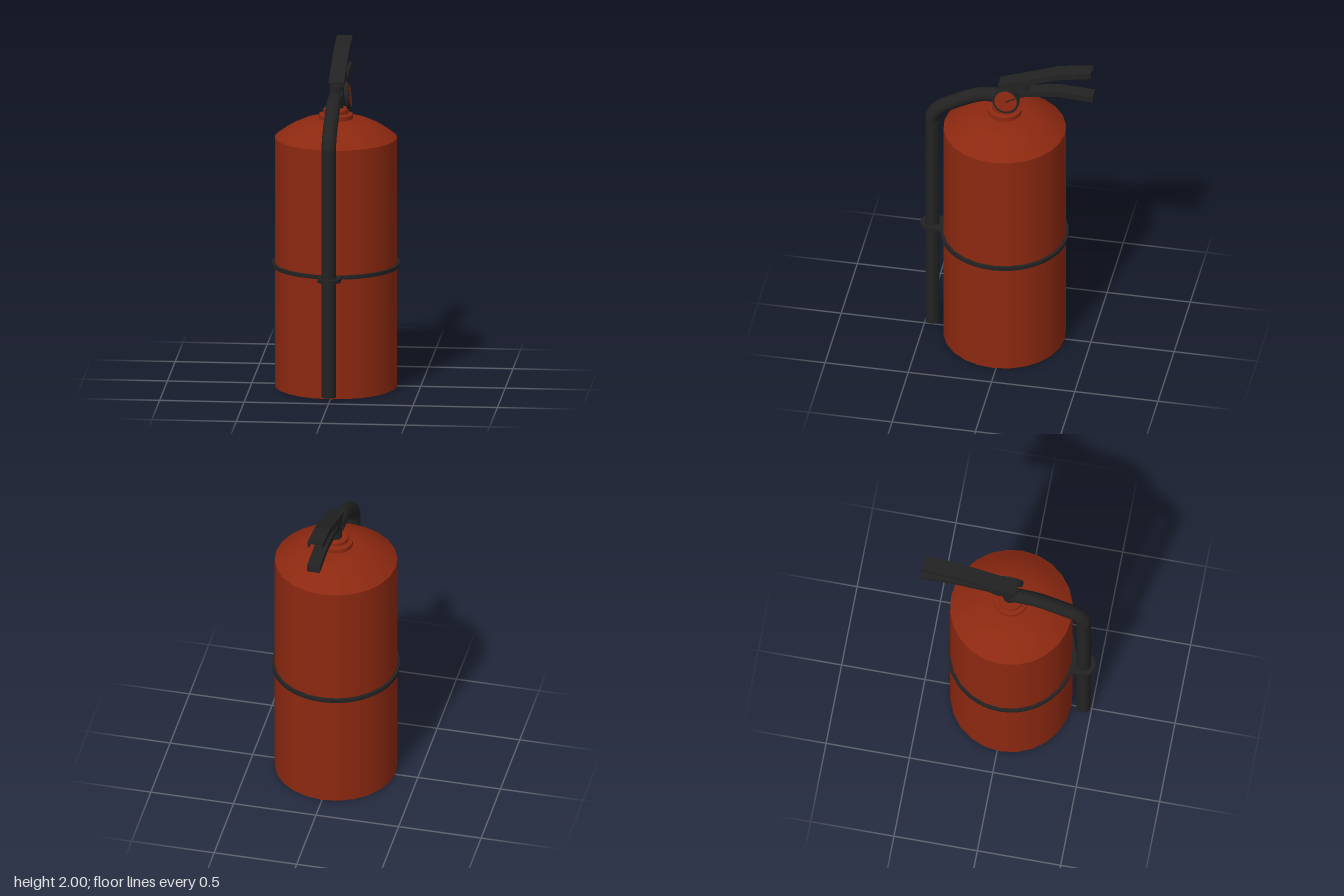
import * as THREE from 'three';

const red = new THREE.MeshStandardMaterial({ color: 0x8c2810, side: THREE.DoubleSide });
red.name = 'red paint';
const black = new THREE.MeshStandardMaterial({ color: 0x222222, side: THREE.DoubleSide });
black.name = 'black rubber';

const SEG = 24;
const TANK_Z = 0.018;

export function createModel() {
  const model = new THREE.Group();
  model.name = 'fireExtinguisher';

  const add = (name, geometry, material, parent = model) => {
    const mesh = new THREE.Mesh(geometry, material);
    mesh.name = name;
    parent.add(mesh);
    return mesh;
  };

  // Surface of revolution about the tank axis; points are [radius, y]
  const lathe = (name, points, material) => {
    const profile = points.map(([r, y]) => new THREE.Vector2(r, y));
    add(name, new THREE.LatheGeometry(profile, SEG), material).position.z = TANK_Z;
  };

  // Side outline of [z, y] points, extruded across x
  const sidePlate = (name, points, x0, x1, parent) => {
    const shape = new THREE.Shape(points.map(([z, y]) => new THREE.Vector2(-z, y)));
    const geometry = new THREE.ExtrudeGeometry(shape, { depth: x1 - x0, bevelEnabled: false });
    geometry.rotateY(Math.PI / 2).translate(x0, 0, 0);
    return add(name, geometry, black, parent);
  };

  // Flat outline in x and z, extruded down from a top height
  const flatPlate = (name, shape, top, depth, z) => {
    const geometry = new THREE.ExtrudeGeometry(shape, { depth, bevelEnabled: false, curveSegments: SEG });
    geometry.rotateX(Math.PI / 2).translate(0, top, z);
    return add(name, geometry, black);
  };

  // Tank with a raised, bulging underside
  lathe('tankWall', [[0.362, 0], [0.362, 1.505]], red);
  lathe('tankShoulder', [[0.362, 1.505], [0.315, 1.54], [0.265, 1.572], [0.2, 1.602], [0.14, 1.615], [0.09, 1.62]], red);
  lathe('tankUnderside', [[0, 0.07], [0.1, 0.076], [0.2, 0.1], [0.28, 0.135], [0.362, 0.18]], red);

  // Neck rings, one band per face so that the edges stay sharp
  const neck = [[0.1, 1.615], [0.1, 1.645], [0.075, 1.652], [0.075, 1.675], [0.068, 1.682], [0, 1.682]];
  for (let i = 0; i < neck.length - 1; i++) lathe('neckRing', [neck[i], neck[i + 1]], red);

  // Valve
  const stem = add('valveStem', new THREE.CylinderGeometry(0.042, 0.042, 0.14, 16), black);
  stem.position.set(0.003, 1.745, 0.01);
  sidePlate('valveHead', [[0.045, 1.76], [-0.06, 1.76], [-0.13, 1.805], [-0.135, 1.855], [0.01, 1.835]], -0.034, 0.042);

  // Upper lever: a bent channel, open below
  const lever = new THREE.Group();
  lever.name = 'upperLever';
  model.add(lever);
  const ridge = [[0.05, 1.84], [-0.31, 1.97], [-0.505, 2.0]];
  const underside = [[-0.513, 1.968], [-0.32, 1.932], [-0.13, 1.87], [-0.13, 1.83], [0.01, 1.81]];
  const lowerRidge = ridge.map(([z, y]) => [z, y - 0.012]).reverse();
  sidePlate('leverTop', [...ridge, ...lowerRidge], -0.042, 0.05, lever);
  for (const x of [-0.042, 0.038]) sidePlate('leverSide', [...ridge, ...underside], x, x + 0.012, lever);

  // Lower carrying handle
  sidePlate('carryHandle', [
    [-0.08, 1.81], [-0.31, 1.847], [-0.52, 1.837], [-0.523, 1.797],
    [-0.31, 1.808], [-0.12, 1.782], [-0.05, 1.755],
  ], -0.028, 0.05);

  // Pressure gauge, tipped slightly upward
  const gauge = new THREE.Group();
  gauge.name = 'pressureGauge';
  gauge.position.set(0.069, 1.752, -0.003);
  gauge.rotation.z = THREE.MathUtils.degToRad(8);
  model.add(gauge);
  add('gaugeCase', new THREE.CylinderGeometry(0.08, 0.08, 0.024, SEG).rotateZ(-Math.PI / 2), black, gauge);
  const face = add('gaugeFace', new THREE.CircleGeometry(0.067, SEG).rotateY(Math.PI / 2), red, gauge);
  face.position.x = 0.0135;
  const needle = add('gaugeNeedle', new THREE.BoxGeometry(0.003, 0.007, 0.065), black, gauge);
  needle.position.set(0.015, 0.012, -0.028);
  needle.rotation.x = 0.5;

  // Hose with closed ends
  const path = new THREE.CurvePath();
  const hosePoints = [[0.452, 1.53], [0.422, 1.582], [0.33, 1.645], [0.17, 1.722], [0.09, 1.733], [0.02, 1.735]]
    .map(([z, y]) => new THREE.Vector3(-0.003, y, z));
  path.add(new THREE.LineCurve3(new THREE.Vector3(-0.003, 0.03, 0.452), hosePoints[0]));
  path.add(new THREE.CatmullRomCurve3(hosePoints, false, 'centripetal'));
  add('hose', new THREE.TubeGeometry(path, 80, 0.043, 16), black);
  const tip = add('hoseEnd', new THREE.CircleGeometry(0.043, 16).rotateX(Math.PI / 2), black);
  tip.position.set(-0.003, 0.03, 0.452);

  // Strap around the tank and clip around the hose
  const strap = new THREE.Shape().absarc(0, 0, 0.378, 0, Math.PI * 2);
  strap.holes.push(new THREE.Path().absarc(0, 0, 0.358, 0, Math.PI * 2));
  flatPlate('strap', strap, 0.75, 0.022, TANK_Z);

  const clip = new THREE.Shape().moveTo(-0.068, -0.08).lineTo(0.068, -0.08).lineTo(0.068, 0);
  clip.absarc(0, 0, 0.068, 0, Math.PI);
  clip.holes.push(new THREE.Path().absarc(0, 0, 0.041, 0, Math.PI * 2));
  flatPlate('hoseClip', clip, 0.75, 0.022, 0.455);

  return model;
}
